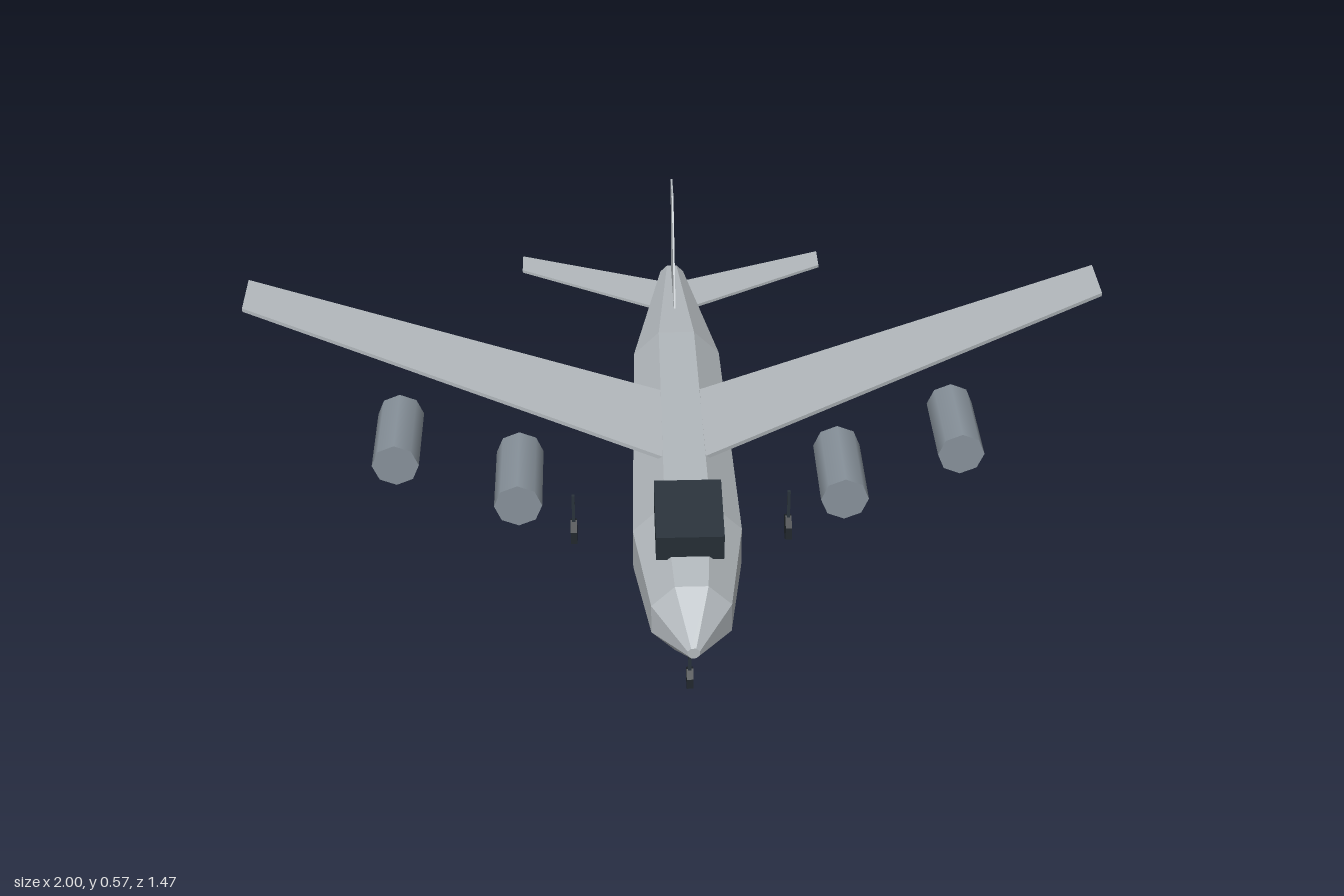
import * as THREE from 'three';

export function createModel() {
  const group = new THREE.Group();
  const mat = (name, color) => {
    const m = new THREE.MeshStandardMaterial({ color });
    m.name = name;
    return m;
  };
  const hullGrey = mat('hull grey', 0xb2b8bc);
  const engineGrey = mat('engine grey', 0x87919a);
  const darkGlass = mat('dark slate', 0x29323a);
  const tyreBlack = mat('tyre black', 0x22282d);

  const add = (name, geo, material, x = 0, y = 0, z = 0, rx = 0) => {
    const mesh = new THREE.Mesh(geo, material);
    mesh.name = name;
    mesh.position.set(x, y, z);
    mesh.rotation.x = rx;
    group.add(mesh);
    return mesh;
  };
  const outline = pts => new THREE.Shape(pts.map(p => new THREE.Vector2(...p)));
  const extrude = (pts, depth) => new THREE.ExtrudeGeometry(outline(pts), { depth, bevelEnabled: false });

  // Eight-sided fuselage: a cylinder whose rings follow [z, centre height, half width]
  const stations = [
    [0.733, 0.243, 0.012],
    [0.627, 0.245, 0.08],
    [0.4, 0.248, 0.112],
    [-0.267, 0.261, 0.097],
    [-0.6, 0.313, 0.027],
  ];
  const rows = stations.length - 1;
  let hull = new THREE.CylinderGeometry(1, 1, 1, 8, rows, false, Math.PI / 8);
  hull.rotateX(Math.PI / 2);
  const pos = hull.attributes.position;
  for (let i = 0; i < pos.count; i++) {
    const [z, cy, half] = stations[Math.round((0.5 - pos.getZ(i)) * rows)];
    const r = half / Math.cos(Math.PI / 8);
    pos.setXYZ(i, pos.getX(i) * r, cy + pos.getY(i) * r, z);
  }
  hull = hull.toNonIndexed();
  hull.computeVertexNormals();
  add('fuselage', hull, hullGrey);

  // Cockpit block and open rear ramp
  add('cockpit', new THREE.BoxGeometry(0.136, 0.064, 0.159), darkGlass, 0, 0.3745, 0.4725, 0.173);
  add('rearRamp', new THREE.BoxGeometry(0.16, 0.006, 0.187), darkGlass, 0, 0.155, -0.413, -0.322);

  // Upright tail fin, outlined in z and y
  const fin = extrude([[-0.376, 0.355], [-0.518, 0.573], [-0.6, 0.573], [-0.576, 0.33]], 0.004);
  fin.rotateY(-Math.PI / 2);
  add('tailFin', fin, hullGrey, 0.002);

  // Landing gear: thin strut and six-sided wheel
  const gear = (name, x, z, r, top) => {
    add(name + 'Strut', new THREE.BoxGeometry(0.007, top - r, 0.007), darkGlass, x, (top + r) / 2, z);
    const wheel = new THREE.CylinderGeometry(r, r, 0.014, 6, 1, false, Math.PI / 2).toNonIndexed();
    wheel.computeVertexNormals();
    wheel.rotateZ(Math.PI / 2);
    add(name + 'Wheel', wheel, tyreBlack, x, r, z);
  };
  gear('nose', 0, 0.547, 0.024, 0.13);

  // Flat surfaces outlined in x and z, with a given top height
  const slab = (name, s, pts, top, depth) => {
    const geo = extrude(pts.map(([x, z]) => [x * s, z]), depth);
    geo.rotateX(Math.PI / 2);
    add(name, geo, hullGrey, 0, top, 0);
  };

  // Mirrored parts
  for (const [side, s] of [['left', 1], ['right', -1]]) {
    slab(side + 'Wing', s, [[0.043, 0.23], [1, -0.405], [1, -0.535], [0.043, -0.027]], 0.359, 0.009);
    slab(side + 'Tailplane', s, [[0.01, -0.465], [0.36, -0.668], [0.36, -0.735], [0.01, -0.597]], 0.295, 0.007);
    gear(side + 'Main', 0.24 * s, 0.043, 0.031, 0.13);
    for (const [place, x, z] of [['Inner', 0.36, -0.017], ['Outer', 0.64, -0.181]]) {
      const engine = new THREE.CylinderGeometry(0.053, 0.053, 0.21, 8);
      engine.rotateX(Math.PI / 2);
      add(side + place + 'Engine', engine, engineGrey, x * s, 0.137, z);
    }
  }
  return group;
}
